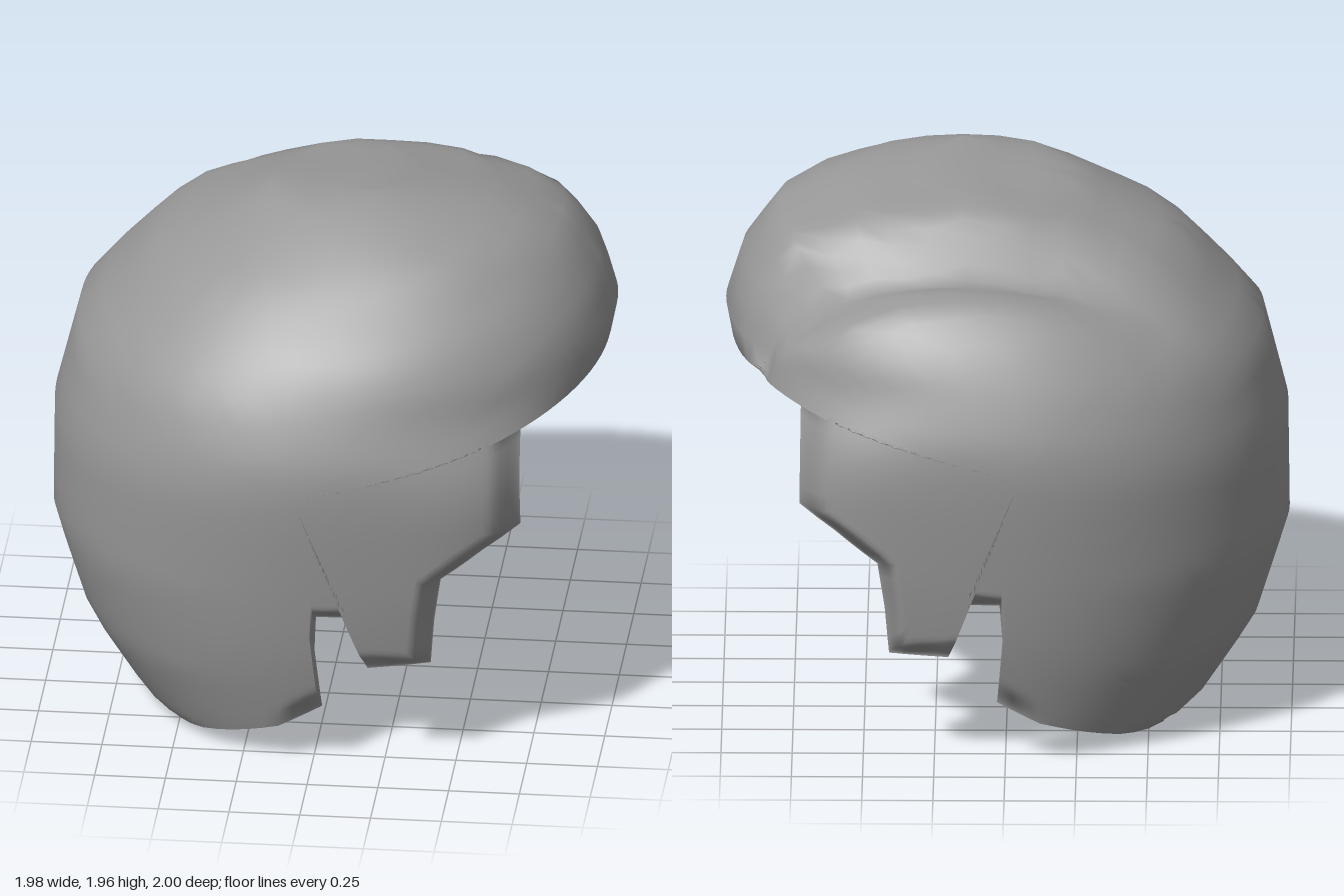
import * as THREE from 'three';
import { mergeVertices } from 'three/addons/utils/BufferGeometryUtils.js';

const { lerp, smoothstep, clamp } = THREE.MathUtils;

// Side profile: back of the neck, over the crown, to the fringe
const crown = [[-.62, 0], [-.7, .05], [-.88, .32], [-.99, .67], [-.985, 1.06], [-.9, 1.4], [-.62, 1.7],
  [-.22, 1.92], [.17, 1.96], [.56, 1.91], [.8, 1.81], [.93, 1.63], [.99, 1.44], [.97, 1.34]];
// Cut edge (x, y, inward tuck): fringe, temple, sideburn, ear notch, nape
const hem = [[.97, 1.34, 0], [.85, 1.335, 0], [.72, 1.3, .05], [.725, .92, .08], [.6, .84, .1], [.45, .72, .13],
  [.425, .55, .13], [.41, .37, .12], [.2, .4, .03], [.16, .52, .04], [.15, .6, .06], [.02, .6, .06],
  [.01, .45, .08], [.03, .2, .08], [-.12, .14, 0], [-.4, .05, 0], [-.55, .01, 0], [-.62, 0, 0]];
// Back limit, front limit and half width, by height
const backX = crown.slice(0, 9).map(([x, y]) => [y, x]);
const frontX = [[0, .62], [.05, .7], [.32, .88], [.67, .98], [1.3, .97],
  ...crown.slice(8).reverse().map(([x, y]) => [y, x])];
const halfWidth = new THREE.SplineCurve([[0, .78], [.16, .84], [.45, .92], [.8, .975], [1.11, 1], [1.3, .965],
  [1.53, .86], [1.7, .7], [1.82, .55], [1.91, .38], [1.96, .22]].map(([y, w]) => new THREE.Vector2(y, w)))
  .getPoints(80).map((p) => [p.x, p.y]);

function at(table, v) {
  let i = 0;
  while (i < table.length - 2 && v > table[i + 1][0]) i++;
  const [a, p] = table[i], [b, q] = table[i + 1];
  return lerp(p, q, clamp((v - a) / (b - a), 0, 1));
}

// Half depth of the hair at a point of the side profile
function depth(x, y) {
  const b = at(backX, y), f = at(frontX, y);
  const u = Math.min(1, Math.abs(2 * x - b - f) / Math.max(f - b, 1e-4));
  const n = 2.15 + .6 * smoothstep(x, 0, .6) * (1 - smoothstep(y, 1, 1.4));
  return at(halfWidth, y) * Math.pow(1 - Math.pow(u, n), 1 / n);
}

// Parting: the crown tilts to one side, where a dip and a narrow crease run forward
function part(x, y, z) {
  const tilt = .045 * smoothstep(y, 1.7, 1.95) * smoothstep(-z, -.2, .25);
  const dip = .13 * smoothstep(y, 1.35, 1.65) * smoothstep(x, -.8, -.1) * Math.max(0, 1 - Math.abs(z + .55) / .19);
  const line = -.54 + .08 * smoothstep(x, .2, .85);
  const crease = .07 * smoothstep(x, .2, .8) * smoothstep(y, 1.25, 1.4) * Math.exp(-(((z - line) / .06) ** 2));
  return [x - crease * x, y - tilt - dip - crease * .4, z + crease * .3];
}

function subdivide(points, step) {
  const out = [];
  for (let i = 0; i < points.length - 1; i++) {
    const [ax, ay, at0 = 0] = points[i], [bx, by, at1 = 0] = points[i + 1];
    const n = Math.max(1, Math.round(Math.hypot(bx - ax, by - ay) / step));
    for (let k = 0; k < n; k++) out.push([lerp(ax, bx, k / n), lerp(ay, by, k / n), lerp(at0, at1, k / n)]);
  }
  return out;
}

function makeGeometry(positions, index) {
  let g = new THREE.BufferGeometry();
  g.setAttribute('position', new THREE.Float32BufferAttribute(positions, 3));
  g.setIndex(index);
  g = mergeVertices(g, 1e-4);
  g.computeVertexNormals();
  return g;
}

export function createModel() {
  const group = new THREE.Group();
  const material = new THREE.MeshStandardMaterial({ color: 0x989898, side: THREE.DoubleSide });
  const add = (geometry, name) => {
    const mesh = new THREE.Mesh(geometry, material);
    mesh.name = name;
    group.add(mesh);
  };

  const top = subdivide(crown, .12), edge = subdivide(hem, .06);
  const outline = [...top, ...edge], count = outline.length;
  const cx = -.05, cy = 1.1, rings = 28;

  // Hair shell: two mirrored halves of rings spreading to the outline, curling in at the cut edge
  const pos = [], idx = [];
  for (const side of [1, -1]) {
    const base = pos.length / 3;
    for (let i = 0; i <= rings; i++) {
      const s = Math.sin(i / rings * Math.PI / 2);
      outline.forEach(([px, py, tuck], j) => {
        const x = lerp(cx, px, s), y = lerp(cy, py, s);
        const onCrown = i === rings && j <= top.length;
        const z = onCrown ? 0 : depth(x, y) - tuck * smoothstep(s, .88, 1);
        pos.push(...part(x, y, side * z));
      });
    }
    for (let i = 0; i < rings; i++) for (let j = 0; j < count; j++) {
      const k = (j + 1) % count;
      const a = base + i * count + j, d = base + i * count + k, b = a + count, c = d + count;
      idx.push(...(side > 0 ? [a, c, b] : [a, b, c]));
      if (i > 0) idx.push(...(side > 0 ? [a, d, c] : [a, c, d]));
    }
  }
  add(makeGeometry(pos, idx), 'hairShell');

  // Small pointed lock hanging below the parting
  add(makeGeometry([.89, 1.34, -.36, .83, 1.255, -.41, .82, 1.34, -.48], [0, 1, 2]), 'fringeLock');

  return group;
}
